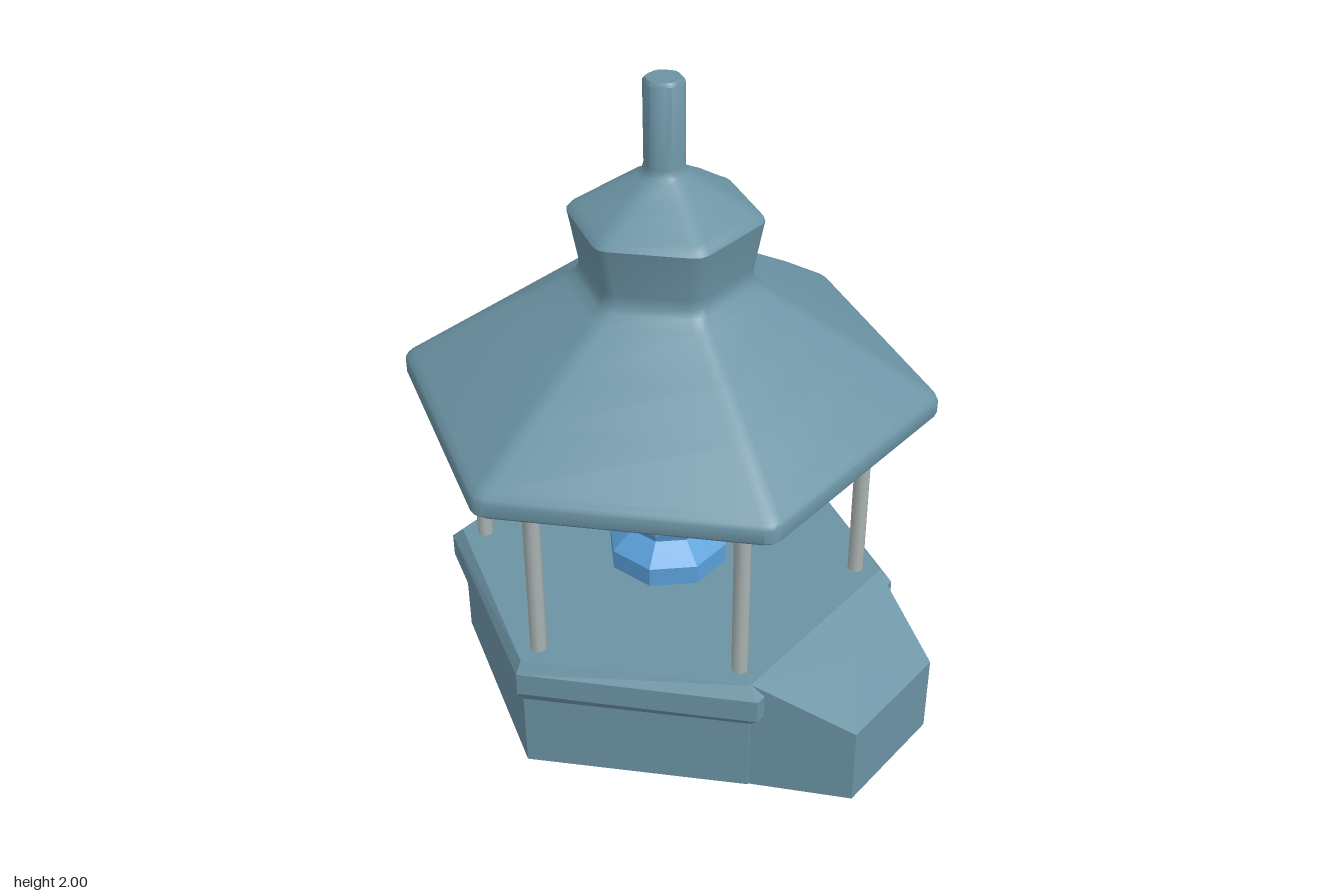
import * as THREE from 'three';
import { toCreasedNormals } from 'three/addons/utils/BufferGeometryUtils.js';

const CENTER_Z = -0.082; // axis of the pavilion; the ramp sticks out in front

// Closed loft through rings of [x, y, z] points, capped at both ends
function loft(rings, crease) {
  const n = rings[0].length;
  const pos = rings.flat(2);
  const idx = [];
  for (let r = 0; r < rings.length - 1; r++) {
    for (let i = 0; i < n; i++) {
      const j = (i + 1) % n;
      const a = r * n + i, b = r * n + j;
      idx.push(a, a + n, b, b, a + n, b + n);
    }
  }
  const cap = (ring, start, up) => {
    const c = pos.length / 3;
    for (let k = 0; k < 3; k++) pos.push(ring.reduce((s, p) => s + p[k], 0) / n);
    for (let i = 0; i < n; i++) {
      const j = (i + 1) % n;
      if (up) idx.push(c, start + j, start + i);
      else idx.push(c, start + i, start + j);
    }
  };
  cap(rings[0], 0, false);
  cap(rings[rings.length - 1], (rings.length - 1) * n, true);
  const geo = new THREE.BufferGeometry();
  geo.setAttribute('position', new THREE.Float32BufferAttribute(pos, 3));
  geo.setIndex(idx);
  return toCreasedNormals(geo, crease);
}

// Sharp hexagon with corners on the x axis
function hexRing(radius, y, zScale = 1) {
  return Array.from({ length: 6 }, (_, i) => {
    const a = (i * Math.PI) / 3;
    return [radius * Math.cos(a), y, radius * Math.sin(a) * zScale];
  });
}

// Hexagon with rounded corners, sized by the distance from centre to side
function roundedHexRing(apothem, y) {
  const r = Math.min(0.05, apothem * 0.6);
  const core = (apothem - r) / Math.cos(Math.PI / 6);
  const ring = [];
  for (let i = 0; i < 6; i++) {
    const a = (i * Math.PI) / 3;
    for (let k = -1; k <= 1; k++) {
      const b = a + (k * Math.PI) / 6;
      ring.push([core * Math.cos(a) + r * Math.cos(b), y, core * Math.sin(a) + r * Math.sin(b)]);
    }
  }
  return ring;
}

export function createModel() {
  const slate = new THREE.MeshStandardMaterial({ color: 0x6b93a4 });
  slate.name = 'slateBlue';
  const steel = new THREE.MeshStandardMaterial({ color: 0xa9b2b2 });
  steel.name = 'steelGrey';
  const blue = new THREE.MeshStandardMaterial({ color: 0x5a9fd8 });
  blue.name = 'brightBlue';

  const model = new THREE.Group();
  model.name = 'pavilion';
  const add = (name, geo, mat, x = 0, y = 0, z = CENTER_Z) => {
    const mesh = new THREE.Mesh(geo, mat);
    mesh.name = name;
    mesh.position.set(x, y, z);
    model.add(mesh);
    return mesh;
  };

  // Plinth with a chamfered floor slab
  add('base', loft([
    hexRing(0.678, 0),
    hexRing(0.678, 0.25),
    hexRing(0.702, 0.287, 1.027),
    hexRing(0.702, 0.363, 1.027),
    hexRing(0.678, 0.4),
  ], 0.1), slate);

  // Entrance ramp, tapering towards the front
  const plan = [[0.335, 0.505], [0.2, 0.788], [-0.2, 0.788], [-0.335, 0.505]];
  const low = [0, 0.013, 0.013, 0];
  const high = [0.4, 0.272, 0.272, 0.4];
  add('ramp', loft([low, high].map(h => plan.map(([x, z], i) => [x, h[i], z])), 0.1), slate, 0, 0, 0);

  // Six slim posts
  const postGeo = toCreasedNormals(new THREE.CylinderGeometry(0.025, 0.025, 0.62, 8), 0.9);
  for (let i = 0; i < 6; i++) {
    const a = (i * Math.PI) / 3;
    add('post', postGeo, steel, 0.6 * Math.cos(a), 0.7, CENTER_Z + 0.6 * Math.sin(a));
  }

  // Octagonal urn in the middle of the floor
  const urnProfile = [[0, 0], [0.193, 0], [0.193, 0.064], [0.168, 0.088], [0.126, 0.124], [0.133, 0.15], [0.133, 0.185], [0, 0.185]]
    .map(([r, y]) => new THREE.Vector2(r, y));
  const urn = add('urn', toCreasedNormals(new THREE.LatheGeometry(urnProfile, 8), 0.1), blue, 0, 0.4);
  urn.rotation.y = Math.PI / 8;

  // Flared roof, cupola and spire as one swept profile: [distance to side, height]
  const roofProfile = [
    [0.695, 1.0], [0.704, 1.01], [0.704, 1.05], [0.698, 1.063], [0.68, 1.077],
    [0.525, 1.193], [0.395, 1.283], [0.268, 1.37], [0.238, 1.395], [0.227, 1.42], [0.228, 1.448],
    [0.25, 1.582], [0.252, 1.593], [0.243, 1.606], [0.225, 1.617],
    [0.143, 1.676], [0.075, 1.718], [0.061, 1.73], [0.056, 1.75],
    [0.056, 1.99], [0.048, 2.0],
  ];
  add('roof', loft(roofProfile.map(([a, y]) => roundedHexRing(a, y)), 0.75), slate);

  return model;
}
